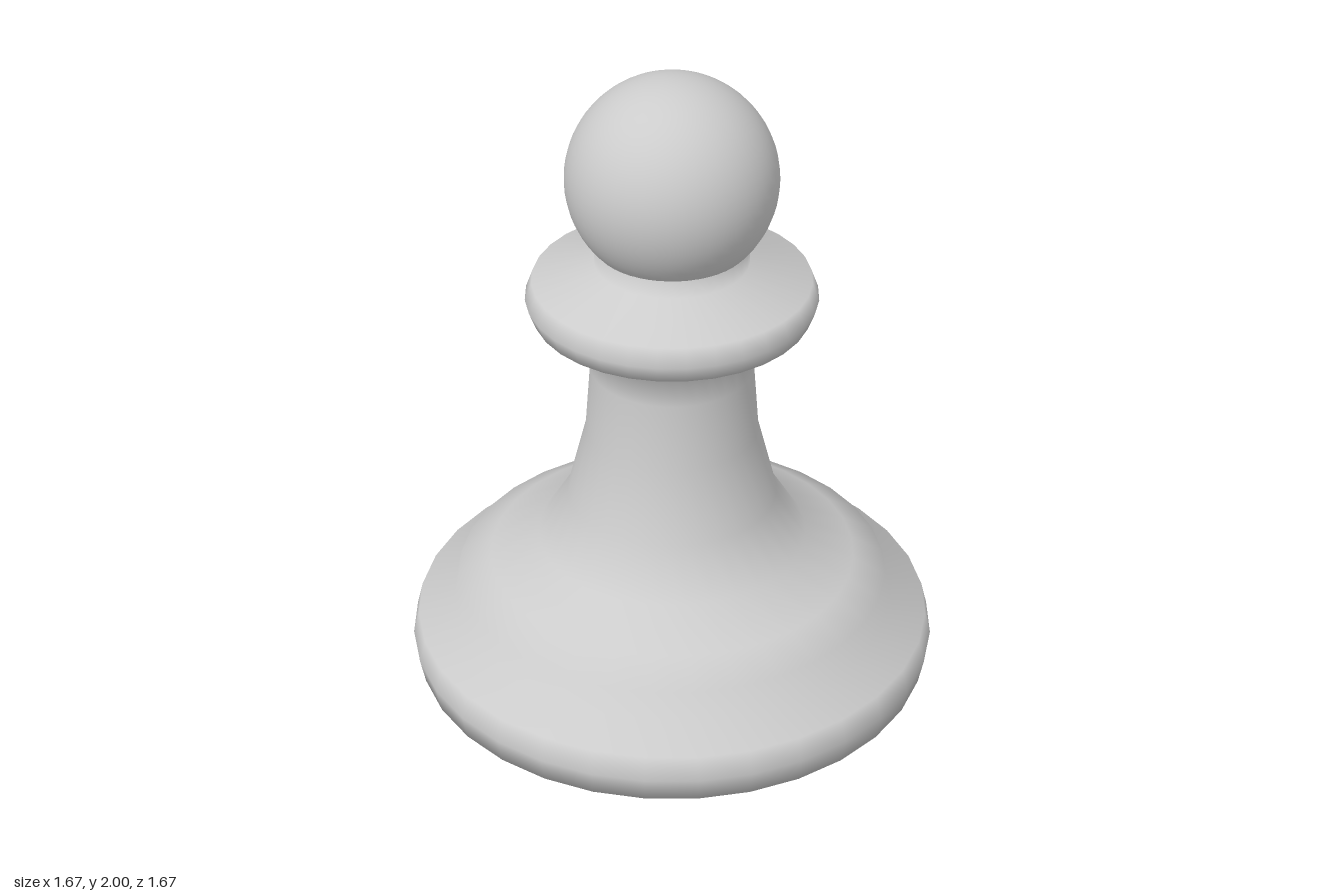
import * as THREE from 'three';

export function createModel() {
  const model = new THREE.Group();
  model.name = 'pawn';
  const material = new THREE.MeshStandardMaterial({ color: 0xcccccc });

  // Turned body: foot, step, flared stem, collar and neck as one smooth profile
  const profile = [
    [0, 0], [0.82, 0], [0.836, 0.08], [0.817, 0.155], // foot
    [0.7, 0.21], [0.683, 0.295], [0.58, 0.355], // step
    [0.425, 0.432], [0.33, 0.585], [0.27, 0.82], [0.253, 1.04], [0.25, 1.178], // stem
    [0.425, 1.235], [0.446, 1.29], [0.425, 1.347], // collar
    [0.235, 1.405], [0.235, 1.46], [0.2, 1.49], // neck, ending inside the head
  ].map(([r, y]) => new THREE.Vector2(r, y));
  const body = new THREE.Mesh(new THREE.LatheGeometry(profile, 32), material);
  body.name = 'body';
  model.add(body);

  // Round head
  const head = new THREE.Mesh(new THREE.SphereGeometry(0.32, 48, 32), material);
  head.name = 'head';
  head.position.y = 1.68;
  model.add(head);

  return model;
}
